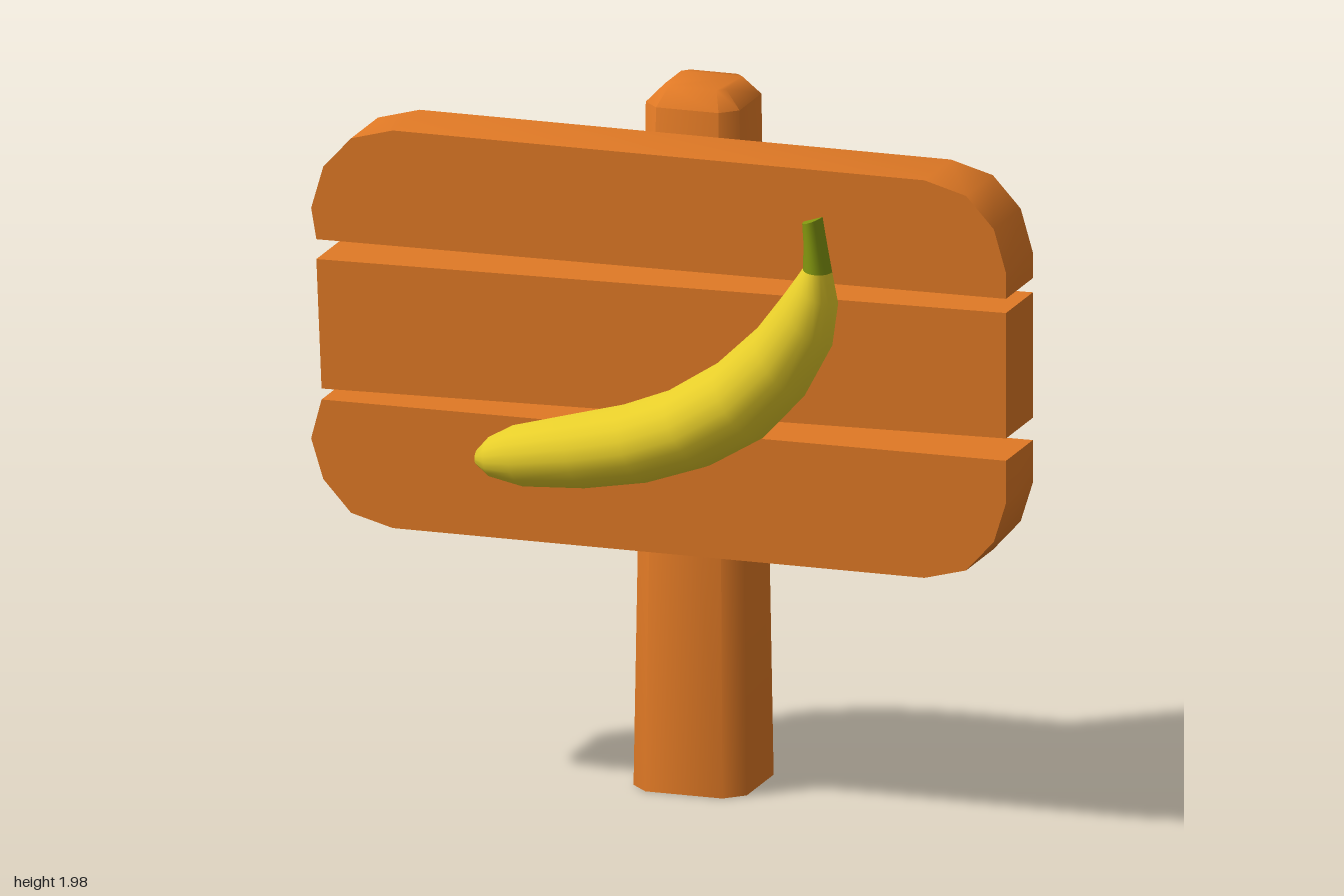
import * as THREE from 'three';
import { toCreasedNormals } from 'three/addons/utils/BufferGeometryUtils.js';

const wood = new THREE.MeshStandardMaterial({ color: 0xe07925, side: THREE.DoubleSide });
wood.name = 'orange wood';
const yellow = new THREE.MeshStandardMaterial({ color: 0xe6cd2a });
yellow.name = 'banana yellow';
const green = new THREE.MeshStandardMaterial({ color: 0x82960f });
green.name = 'stem green';

// Skins a list of closed rings (arrays of [x, y, z]), with optional end caps
function loft(rings, capStart, capEnd, crease) {
  const n = rings[0].length;
  const last = (rings.length - 1) * n;
  const index = [];
  for (let i = 0; i < rings.length - 1; i++) {
    for (let j = 0; j < n; j++) {
      const k = (j + 1) % n;
      const a = i * n + j, b = a + n, c = (i + 1) * n + k, d = i * n + k;
      index.push(a, b, c, a, c, d);
    }
  }
  for (let j = 1; j < n - 1; j++) {
    if (capStart) index.push(0, j, j + 1);
    if (capEnd) index.push(last, last + j + 1, last + j);
  }
  const geo = new THREE.BufferGeometry();
  geo.setAttribute('position', new THREE.Float32BufferAttribute(rings.flat(2), 3));
  geo.setIndex(index);
  return toCreasedNormals(geo, crease);
}

function addMesh(parent, name, geometry, material) {
  const mesh = new THREE.Mesh(geometry, material);
  mesh.name = name;
  parent.add(mesh);
}

// Square ring with cut corners, around the post axis
function postRing(y, half, cut) {
  const f = half - cut;
  return [[half, -f], [half, f], [f, half], [-f, half], [-half, f], [-half, -f], [-f, -half], [f, -half]]
    .map(([x, z]) => [x, y, z - 0.172]);
}

// Half-elliptic ring from lower to upper edge, flat against the boards
function fruitRing([lx, ly, ux, uy, h]) {
  const ring = [];
  const steps = 10;
  for (let j = 0; j <= steps; j++) {
    const a = (j / steps) * Math.PI;
    const t = (1 - Math.cos(a)) / 2;
    ring.push([lx + (ux - lx) * t, ly + (uy - ly) * t, 0.2 + h * Math.sin(a)]);
  }
  return ring;
}

function plank(points) {
  const shape = new THREE.Shape(points.map(([x, y]) => new THREE.Vector2(x, y)));
  const geo = new THREE.ExtrudeGeometry(shape, { depth: 0.222, bevelEnabled: false });
  geo.translate(0, 0, -0.022);
  return toCreasedNormals(geo, 0.7);
}

export function createModel() {
  const group = new THREE.Group();
  group.name = 'signpost';

  // Tapered post with a bevelled top
  addMesh(group, 'post', loft([
    postRing(0, 0.163, 0.052),
    postRing(1.925, 0.135, 0.045),
    postRing(1.975, 0.088, 0.02),
  ], false, true, 0.85), wood);

  // Three boards, the outer two with rounded corners
  const roundEnd = [[1, 1.62], [0.965, 1.74], [0.885, 1.827], [0.765, 1.86]];
  const mirror = (pts) => pts.map(([x, y]) => [-x, y]).reverse();
  const lowEnd = [[0.765, 0.738], [0.885, 0.77], [0.965, 0.858], [1, 0.97]];
  addMesh(group, 'topBoard', plank([
    [-0.985, 1.533], [1, 1.547], ...roundEnd, ...mirror(roundEnd),
  ]), wood);
  addMesh(group, 'middleBoard', plank([
    [-0.97, 1.113], [1, 1.153], [1, 1.507], [-0.985, 1.477],
  ]), wood);
  addMesh(group, 'bottomBoard', plank([
    ...mirror(lowEnd), ...lowEnd, [1, 1.09], [-0.97, 1.082],
  ]), wood);

  // Banana: lower edge x y, upper edge x y, height off the boards
  const banana = new THREE.Group();
  banana.name = 'banana';
  group.add(banana);
  const neck = [0.5, 1.576, 0.42, 1.586, 0.06];
  addMesh(banana, 'bananaBody', loft([
    [-0.52, 0.942, -0.52, 0.985, 0.03],
    [-0.475, 0.912, -0.49, 1.02, 0.068],
    [-0.38, 0.895, -0.42, 1.06, 0.1],
    [-0.2, 0.907, -0.25, 1.107, 0.122],
    [-0.02, 0.94, -0.1, 1.148, 0.133],
    [0.15, 1.0, 0.03, 1.2, 0.136],
    [0.3, 1.09, 0.17, 1.29, 0.133],
    [0.42, 1.22, 0.285, 1.4, 0.12],
    [0.5, 1.37, 0.36, 1.5, 0.102],
    [0.517, 1.49, 0.395, 1.55, 0.082],
    neck,
  ].map(fruitRing), true, true, 0.9), yellow);
  addMesh(banana, 'bananaStem', loft([
    neck,
    [0.486, 1.65, 0.422, 1.655, 0.053],
    [0.472, 1.73, 0.418, 1.712, 0.048],
  ].map(fruitRing), false, true, 0.9), green);

  return group;
}
